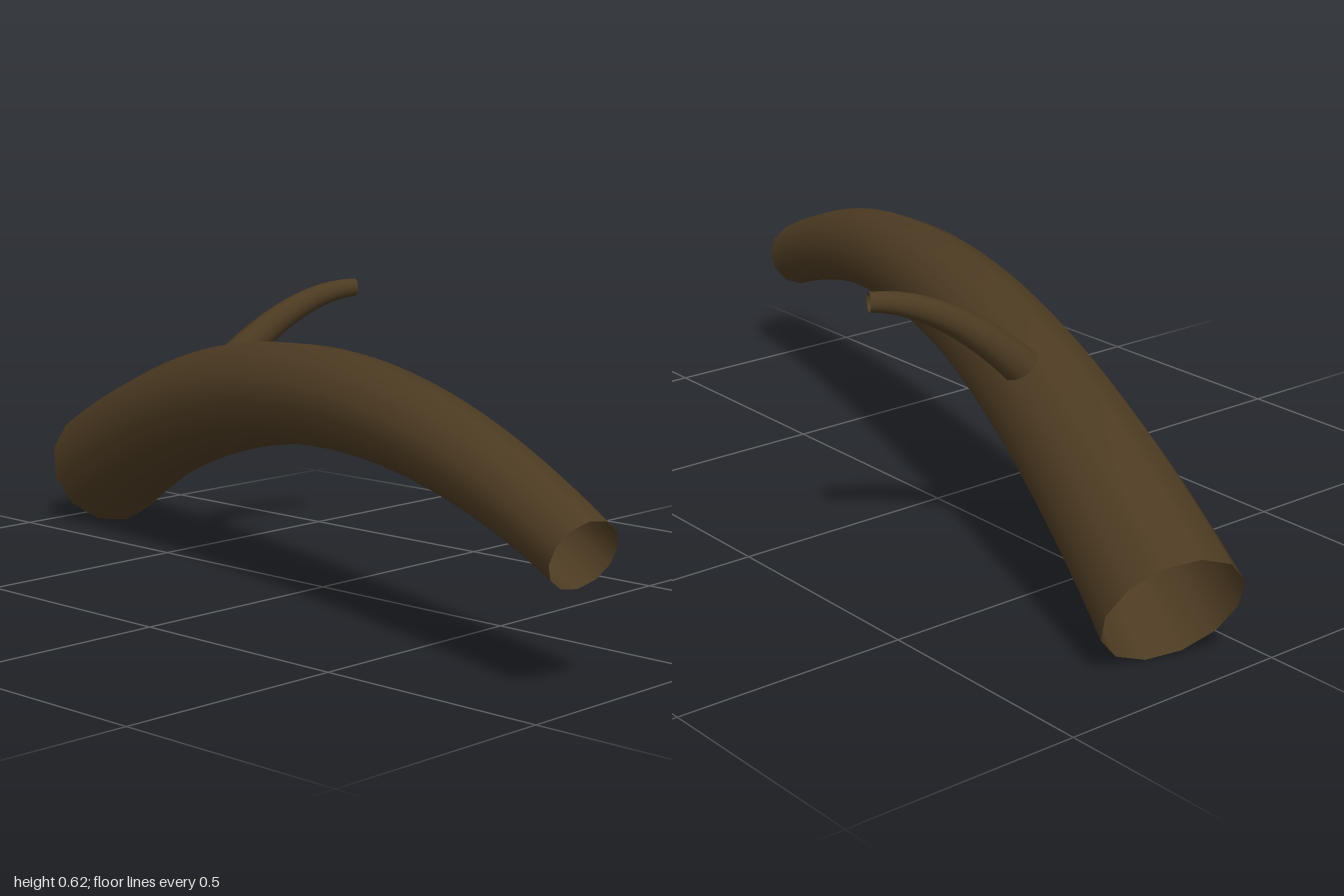
import * as THREE from 'three';

const bark = new THREE.MeshStandardMaterial({ color: 0x4d3b22, side: THREE.DoubleSide });
bark.name = 'bark';

// Open-ended tube along a bent path, tapering evenly from r0 to r1
function taperedLimb(name, points, r0, r1, segments, sides) {
  const curve = new THREE.QuadraticBezierCurve3(...points.map(p => new THREE.Vector3(...p)));
  const geometry = new THREE.TubeGeometry(curve, segments, 1, sides, false);
  const pos = geometry.attributes.position;
  const v = new THREE.Vector3();
  for (let i = 0; i < pos.count; i++) {
    const t = Math.floor(i / (sides + 1)) / segments;
    const centre = curve.getPointAt(t);
    v.fromBufferAttribute(pos, i).sub(centre).multiplyScalar(r0 + (r1 - r0) * t).add(centre);
    pos.setXYZ(i, v.x, v.y, v.z);
  }
  const mesh = new THREE.Mesh(geometry, bark);
  mesh.name = name;
  return mesh;
}

export function createModel() {
  const group = new THREE.Group();
  group.name = 'fallenBranch';

  // Main hollow log, arching from the thick end to the thin end
  group.add(taperedLimb('mainLimb',
    [[-0.927, 0.13, -0.192], [0.07, 0.675, 0.11], [0.965, 0.271, 0.33]], 0.144, 0.075, 32, 12));

  // Small twig curling up and back
  group.add(taperedLimb('twig',
    [[-0.415, 0.38, -0.05], [-0.35, 0.6, -0.24], [-0.28, 0.604, -0.395]], 0.045, 0.02, 16, 12));

  return group;
}
